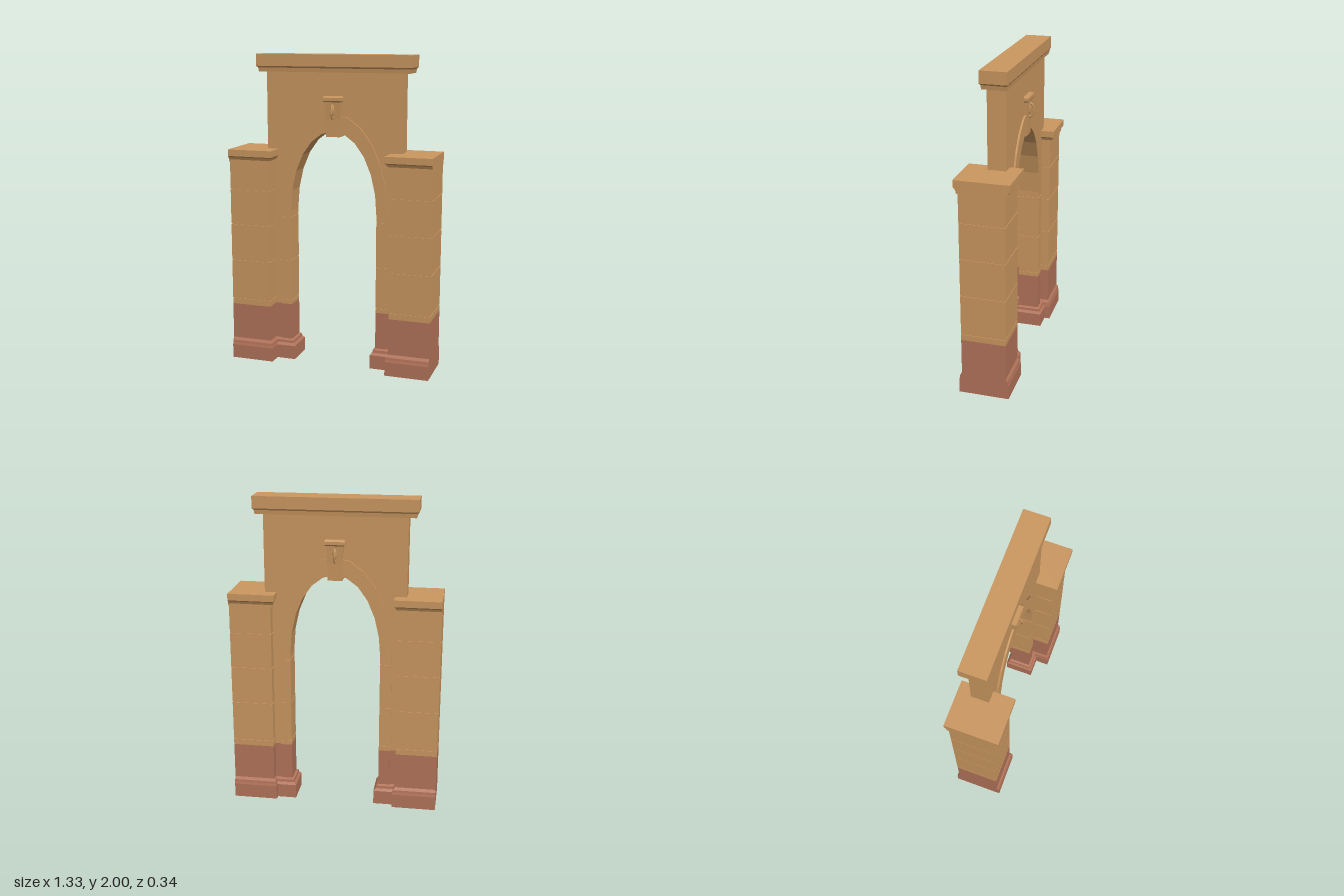
import * as THREE from 'three';

const stone = new THREE.MeshStandardMaterial({ color: 0xcb9860 });
stone.name = 'sandstone';
const plinth = new THREE.MeshStandardMaterial({ color: 0xb3745a });
plinth.name = 'redStone';

const BAND = 0.37; // height where the red stone ends
const MID_Z = -0.027; // centre plane of the arch wall

function add(parent, name, geometry, material) {
  const mesh = new THREE.Mesh(geometry, material);
  mesh.name = name;
  parent.add(mesh);
  return mesh;
}

// Box given by its limits; x limits may come in either order
function block(parent, name, material, xa, xb, y0, y1, z0, z1) {
  const g = new THREE.BoxGeometry(Math.abs(xb - xa), y1 - y0, z1 - z0);
  g.translate((xa + xb) / 2, (y0 + y1) / 2, (z0 + z1) / 2);
  return add(parent, name, g, material);
}

// Rectangular moulding: rows of [y, offset left, offset right, offset z] from a base rectangle
function moulding(parent, name, material, x0, x1, z0, z1, rows) {
  const pos = [];
  const ring = ([y, l, r, d]) => [
    [x0 - l, y, z1 + d], [x1 + r, y, z1 + d], [x1 + r, y, z0 - d], [x0 - l, y, z0 - d],
  ];
  const quad = (a, b, c, d) => pos.push(...a, ...b, ...c, ...a, ...c, ...d);
  const rings = rows.map(ring);
  for (let i = 0; i + 1 < rings.length; i++) {
    for (let k = 0; k < 4; k++) {
      const n = (k + 1) % 4;
      quad(rings[i][k], rings[i][n], rings[i + 1][n], rings[i + 1][k]);
    }
  }
  const b = rings[0], t = rings[rings.length - 1];
  quad(t[0], t[1], t[2], t[3]);
  quad(b[3], b[2], b[1], b[0]);
  const g = new THREE.BufferGeometry();
  g.setAttribute('position', new THREE.Float32BufferAttribute(pos, 3));
  g.computeVertexNormals();
  return add(parent, name, g, material);
}

// Moulding on one side of the gate whose outer end is flush
function sideMoulding(parent, name, material, s, inner, outer, z0, z1, profile) {
  const rows = profile.map(([y, o]) => (s > 0 ? [y, o, 0, o] : [y, 0, o, o]));
  const xs = [s * inner, s * outer].sort((a, b) => a - b);
  return moulding(parent, name, material, xs[0], xs[1], z0, z1, rows);
}

// Faceted half ellipse from right to left
function archPoints(a, b, n = 12) {
  return Array.from({ length: n + 1 }, (_, i) => {
    const t = (i / n) * Math.PI;
    return new THREE.Vector2(a * Math.cos(t), 1.0 + b * Math.sin(t));
  });
}

function extrude(points, z0, z1) {
  const g = new THREE.ExtrudeGeometry(new THREE.Shape(points), { depth: z1 - z0, bevelEnabled: false });
  return g.translate(0, 0, z0);
}

// Stone courses around a slightly inset core, leaving fine joints
function courses(parent, name, s, inner, outer, z0, z1, joints, base) {
  const gap = 0.003, inset = 0.004;
  const top = joints[joints.length - 1];
  block(parent, name + 'Core', stone, s * (inner + inset), s * (outer - inset), BAND, top, z0 + inset, z1 - inset);
  block(parent, name + 'Foot', plinth, s * inner, s * outer, base, BAND, z0, z1);
  let y = BAND;
  joints.forEach((j, i) => {
    const end = i === joints.length - 1 ? j : j - gap;
    block(parent, name + 'Course', stone, s * inner, s * outer, y, end, z0, z1);
    y = j + gap;
  });
}

function buildPier(s) {
  const pier = new THREE.Group();
  pier.name = s > 0 ? 'leftPier' : 'rightPier';

  // Main pillar with moulded base and cap
  courses(pier, 'pillar', s, 0.4, 0.665, -0.14, 0.14, [0.41, 0.67, 0.91, 1.14, 1.33], 0.1);
  sideMoulding(pier, 'pillarBase', plinth, s, 0.4, 0.665, -0.14, 0.14,
    [[0, 0.018], [0.09, 0.018], [0.105, 0.014], [0.12, 0.012], [0.137, 0.0]]);
  sideMoulding(pier, 'pillarCap', stone, s, 0.4, 0.665, -0.14, 0.14,
    [[1.32, 0.013], [1.335, 0.013], [1.35, 0.02], [1.358, 0.029], [1.4, 0.029]]);

  // Arch jamb, with the wall strip behind it
  courses(pier, 'jamb', s, 0.287, 0.36, -0.095, 0.041, [0.4, 0.67, 0.96, 1.0], 0.1);
  block(pier, 'wallFoot', plinth, s * 0.35, s * 0.42, 0, BAND, -0.083, 0.03);
  sideMoulding(pier, 'jambBase', plinth, s, 0.287, 0.42, -0.095, 0.041,
    [[0, 0.028], [0.09, 0.028], [0.105, 0.015], [0.122, 0.013], [0.13, 0.0]]);
  return pier;
}

function buildKeystone() {
  const key = new THREE.Group();
  key.name = 'keystone';
  moulding(key, 'keystoneBlock', stone, -0.045, 0.045, -0.096, 0.042,
    [[1.49, 0, 0, 0], [1.6, 0.002, 0.002, 0.003], [1.715, 0.008, 0.008, 0.01]]);
  moulding(key, 'keystoneCap', stone, -0.055, 0.055, -0.108, 0.053,
    [[1.708, 0, 0, 0], [1.716, 0.01, 0.01, 0.006], [1.735, 0.01, 0.01, 0.006], [1.745, 0.003, 0.003, 0]]);

  // Carved loop and drop on each face
  for (const f of [1, -1]) {
    const ring = add(key, 'carvedLoop', new THREE.TorusGeometry(0.03, 0.005, 8, 24), stone);
    ring.rotation.y = Math.PI / 2;
    ring.scale.set(0.9, 1.4, 1);
    ring.position.set(0, 1.648, MID_Z + f * 0.077);
    const drop = add(key, 'carvedDrop', new THREE.SphereGeometry(0.014, 12, 8), stone);
    drop.scale.set(0.9, 2.6, 0.7);
    drop.position.set(0, 1.66, MID_Z + f * 0.074);
  }
  return key;
}

export function createModel() {
  const gate = new THREE.Group();
  gate.name = 'stoneGateway';
  for (const s of [1, -1]) gate.add(buildPier(s));

  // Upper wall with the arch cut out
  const v = (x, y) => new THREE.Vector2(x, y);
  const inner = archPoints(0.287, 0.525);
  const outer = archPoints(0.36, 0.635);
  const wall = [v(0.445, BAND), v(0.445, 1.895), v(-0.445, 1.895), v(-0.445, BAND),
    v(-0.32, BAND), ...archPoints(0.32, 0.58).reverse(), v(0.32, BAND)];
  add(gate, 'archWall', extrude(wall, -0.083, 0.03), stone);

  // Raised band around the arch
  add(gate, 'archBand', extrude([...outer, ...inner.slice().reverse()], -0.095, 0.041), stone);

  gate.add(buildKeystone());

  // Top cornice
  moulding(gate, 'cornice', stone, -0.445, 0.445, -0.083, 0.03,
    [[1.89, 0.048, 0.048, 0.017], [1.915, 0.052, 0.052, 0.02], [1.925, 0.063, 0.063, 0.026], [2, 0.063, 0.063, 0.026]]);
  return gate;
}
